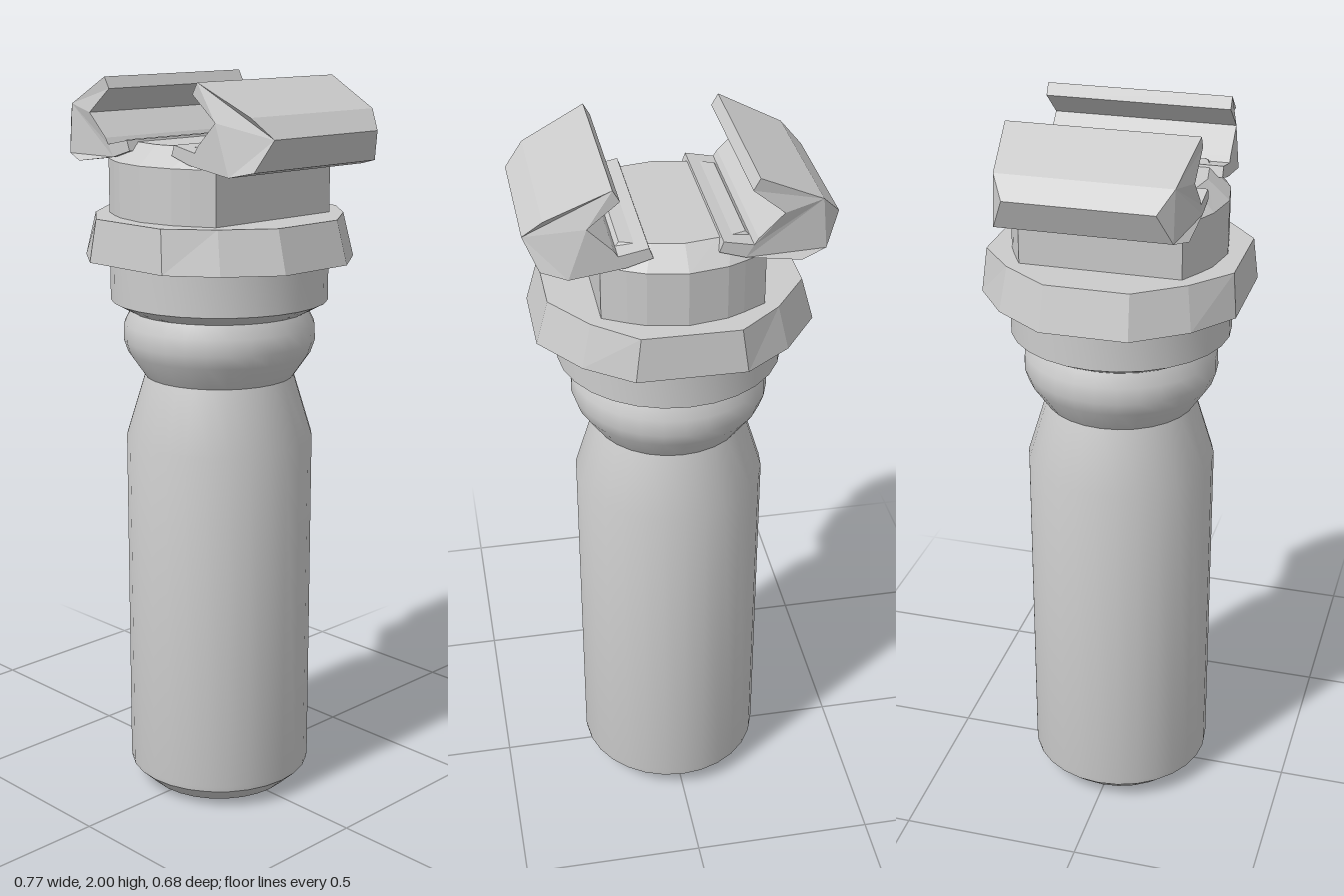
import * as THREE from 'three';
import { toCreasedNormals } from 'three/addons/utils/BufferGeometryUtils.js';

const material = new THREE.MeshStandardMaterial({ color: 0xcccccc });

function addMesh(group, name, geometry) {
  const mesh = new THREE.Mesh(geometry, material);
  mesh.name = name;
  group.add(mesh);
  return mesh;
}

function turned(profile, segments = 28) {
  const points = profile.map(([r, y]) => new THREE.Vector2(r, y));
  return toCreasedNormals(new THREE.LatheGeometry(points, segments), 0.6);
}

// Mirror a front-right quarter outline [x, z] (running from front to side) into a full ring
function ring(quarter, y) {
  const back = quarter.map(([x, z]) => [x, -z]).reverse();
  const right = [...quarter, ...back];
  const left = right.map(([x, z]) => [-x, z]).reverse();
  const all = [...right, ...left].map(([x, z]) => new THREE.Vector3(x, y, z));
  return all.filter((p, i) => p.distanceTo(all[(i + 1) % all.length]) > 1e-5);
}

// Faceted solid through stacked rings, capped at both ends
function loft(rings) {
  const pos = [];
  const tri = (...pts) => pts.forEach((p) => pos.push(p.x, p.y, p.z));
  const n = rings[0].length;
  for (let k = 0; k < rings.length - 1; k++) {
    for (let i = 0; i < n; i++) {
      const j = (i + 1) % n;
      tri(rings[k][i], rings[k][j], rings[k + 1][j]);
      tri(rings[k][i], rings[k + 1][j], rings[k + 1][i]);
    }
  }
  const low = rings[0], high = rings[rings.length - 1];
  const lowMid = new THREE.Vector3(0, low[0].y, 0);
  const highMid = new THREE.Vector3(0, high[0].y, 0);
  for (let i = 0; i < n; i++) {
    const j = (i + 1) % n;
    tri(lowMid, low[j], low[i]);
    tri(highMid, high[i], high[j]);
  }
  const geometry = new THREE.BufferGeometry();
  geometry.setAttribute('position', new THREE.Float32BufferAttribute(pos, 3));
  geometry.computeVertexNormals();
  return geometry;
}

// Hooked clamp section, extruded along z; outer corners of both ends are cut back
function jaw(side) {
  const section = [
    [0.175, 2], [0.158, 1.97], [0.238, 1.905], [0.175, 1.843], [0.165, 1.827], [0.09, 1.842],
    [0.08, 1.815], [0.145, 1.795], [0.285, 1.775], [0.35, 1.79], [0.386, 1.87], [0.338, 1.922],
  ].map(([x, y]) => new THREE.Vector2(side * x, y));
  const geometry = new THREE.ExtrudeGeometry(new THREE.Shape(section), { depth: 2, bevelEnabled: false });
  const p = geometry.attributes.position;
  for (let i = 0; i < p.count; i++) {
    const x = Math.abs(p.getX(i));
    const half = x > 0.37 ? 0.19 : x > 0.3 ? 0.224 : 0.247;
    p.setZ(i, (p.getZ(i) - 1) * half);
  }
  geometry.computeVertexNormals();
  return geometry;
}

export function createModel() {
  const model = new THREE.Group();
  model.name = 'clampPost';

  // Round handle with waisted neck and bulge
  addMesh(model, 'handle', turned([
    [0, 0], [0.19, 0], [0.205, 0.008], [0.255, 0.055], [0.257, 0.07], [0.257, 1.03],
    [0.205, 1.2], [0.25, 1.265], [0.262, 1.3], [0.26, 1.345], [0.24, 1.385], [0, 1.385],
  ]));

  // Round tier under the collar
  addMesh(model, 'lowerTier', turned([
    [0, 1.38], [0.24, 1.38], [0.295, 1.41], [0.295, 1.535], [0, 1.535],
  ]));

  // Faceted, tapering collar
  addMesh(model, 'collar', loft([
    ring([[0.14, 0.338], [0.26, 0.25], [0.357, 0.115]], 1.527),
    ring([[0.125, 0.327], [0.235, 0.235], [0.325, 0.11]], 1.642),
  ]));

  // Head block with bowed ends and sloped upper edge
  const headPlan = [[0, 0.284], [0.1, 0.266], [0.145, 0.245], [0.205, 0.212]];
  addMesh(model, 'headBlock', loft([
    ring(headPlan, 1.63),
    ring(headPlan, 1.785),
    ring([[0, 0.226], [0.08, 0.212], [0.12, 0.203], [0.155, 0.19]], 1.836),
  ]));

  // Mirrored clamp jaws
  addMesh(model, 'leftJaw', jaw(1));
  addMesh(model, 'rightJaw', jaw(-1));
  return model;
}
